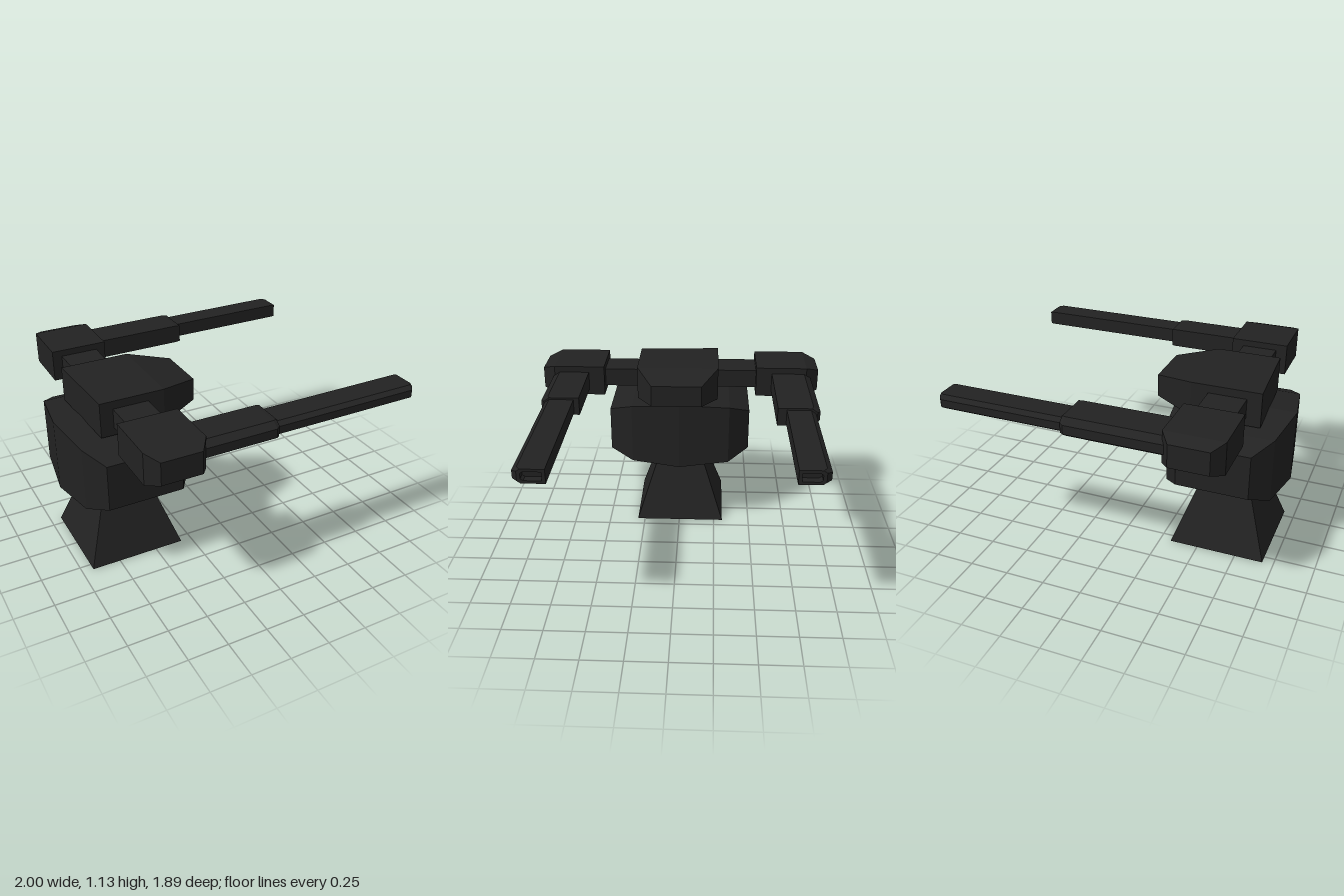
import * as THREE from 'three';

const material = new THREE.MeshStandardMaterial({ color: 0x222222, flatShading: true });

// Skins a row of equal-sized rings and closes both ends.
function loft(name, rings) {
  const n = rings[0].length, pos = [];
  const tri = (...pts) => pts.forEach(p => pos.push(...p));
  for (let i = 0; i < rings.length - 1; i++) {
    for (let j = 0; j < n; j++) {
      const k = (j + 1) % n;
      const [a, b, c, d] = [rings[i][j], rings[i][k], rings[i + 1][k], rings[i + 1][j]];
      tri(a, b, c);
      tri(a, c, d);
    }
  }
  const first = rings[0], last = rings[rings.length - 1];
  for (let j = 1; j < n - 1; j++) {
    tri(first[0], first[j + 1], first[j]);
    tri(last[0], last[j], last[j + 1]);
  }
  const geometry = new THREE.BufferGeometry();
  geometry.setAttribute('position', new THREE.Float32BufferAttribute(pos, 3));
  geometry.computeVertexNormals();
  const mesh = new THREE.Mesh(geometry, material);
  mesh.name = name;
  return mesh;
}

// Rectangular rings across each axis.
const rectZ = (z, x0, x1, y0, y1) => [[x0, y0, z], [x1, y0, z], [x1, y1, z], [x0, y1, z]];
const rectX = (x, y0, y1, z0, z1) => [[x, y0, z0], [x, y1, z0], [x, y1, z1], [x, y0, z1]];
const rectY = (y, x0, x1, z0, z1) => [[x0, y, z0], [x0, y, z1], [x1, y, z1], [x1, y, z0]];

// Six-sided barrel ring, bevelled along its outer edge; side is +1 or -1 in z.
function barrelRing(side, x, h, inner, outer, bevel) {
  const y = 1.02, s = h - bevel * 0.7;
  const ring = [
    [x, y - h, side * inner], [x, y + h, side * inner],
    [x, y + h, side * (outer - bevel)], [x, y + s, side * outer],
    [x, y - s, side * outer], [x, y - h, side * (outer - bevel)],
  ];
  return side > 0 ? ring : ring.reverse();
}

function createArm(side, a) {
  const arm = new THREE.Group();
  arm.name = side > 0 ? 'frontArm' : 'rearArm';
  const ordered = rings => (side > 0 ? rings : rings.reverse());

  arm.add(loft('armLink', ordered([
    rectZ(side * 0.2, a.link[0], a.link[1], 0.96, 1.08),
    rectZ(side * 0.55, a.link[0], a.link[1], 0.96, 1.08),
  ])));

  // Shoulder with a tapered outer end
  const [x0, x1] = a.shoulder;
  arm.add(loft('shoulder', ordered([
    rectZ(side * 0.52, x0, x1, 0.92, 1.12),
    rectZ(side * 0.86, x0, x1, 0.92, 1.12),
    rectZ(side * 0.945, x0 + 0.06, x1 - 0.06, 0.95, 1.09),
  ])));

  const [i1, o1] = a.sleeveZ, [i2, o2] = a.barrelZ;
  arm.add(loft('barrelSleeve', [
    barrelRing(side, x1 - 0.02, 0.06, i1, o1, 0.045),
    barrelRing(side, a.sleeveEnd - 0.025, 0.06, i1, o1, 0.045),
    barrelRing(side, a.sleeveEnd, 0.057, i1, o1 - 0.02, 0.035),
  ]));

  // Barrel with a shallow recess in the muzzle
  arm.add(loft('barrel', [
    barrelRing(side, a.sleeveEnd - 0.02, 0.045, i2, o2, 0.03),
    barrelRing(side, a.tip - 0.025, 0.045, i2, o2, 0.03),
    barrelRing(side, a.tip, 0.043, i2, o2 - 0.03, 0.02),
    barrelRing(side, a.tip, 0.026, i2 + 0.02, o2 - 0.05, 0.015),
    barrelRing(side, a.tip - 0.05, 0.026, i2 + 0.02, o2 - 0.05, 0.015),
  ]));
  return arm;
}

export function createModel() {
  const model = new THREE.Group();
  model.name = 'turret';

  // Tapered pedestal
  model.add(loft('pedestal', [
    rectY(0, -0.93, -0.32, -0.31, 0.30),
    rectY(0.43, -0.78, -0.47, -0.16, 0.155),
    rectY(0.47, -0.73, -0.51, -0.11, 0.11),
  ]));

  // Faceted body, widest in the middle
  model.add(loft('body', [
    rectZ(-0.48, -0.85, -0.40, 0.55, 0.83),
    rectZ(-0.34, -0.95, -0.295, 0.485, 0.89),
    rectZ(0, -1, -0.25, 0.46, 0.92),
    rectZ(0.325, -0.95, -0.295, 0.485, 0.89),
    rectZ(0.48, -0.86, -0.385, 0.54, 0.835),
  ]));

  // Head with a slightly slanted back and a tapered nose
  const back = rectX(-0.84, 0.91, 1.13, -0.26, 0.29);
  back[2][0] = back[3][0] = -0.81;
  model.add(loft('head', [
    back,
    rectX(-0.41, 0.91, 1.13, -0.26, 0.29),
    rectX(-0.16, 0.95, 1.09, -0.15, 0.18),
  ]));

  model.add(createArm(1, {
    link: [-0.73, -0.51], shoulder: [-0.80, -0.435],
    sleeveZ: [0.625, 0.87], barrelZ: [0.66, 0.845], sleeveEnd: 0.03, tip: 1,
  }));
  model.add(createArm(-1, {
    link: [-0.75, -0.515], shoulder: [-0.81, -0.455],
    sleeveZ: [0.625, 0.89], barrelZ: [0.68, 0.86], sleeveEnd: 0.145, tip: 0.955,
  }));
  return model;
}
